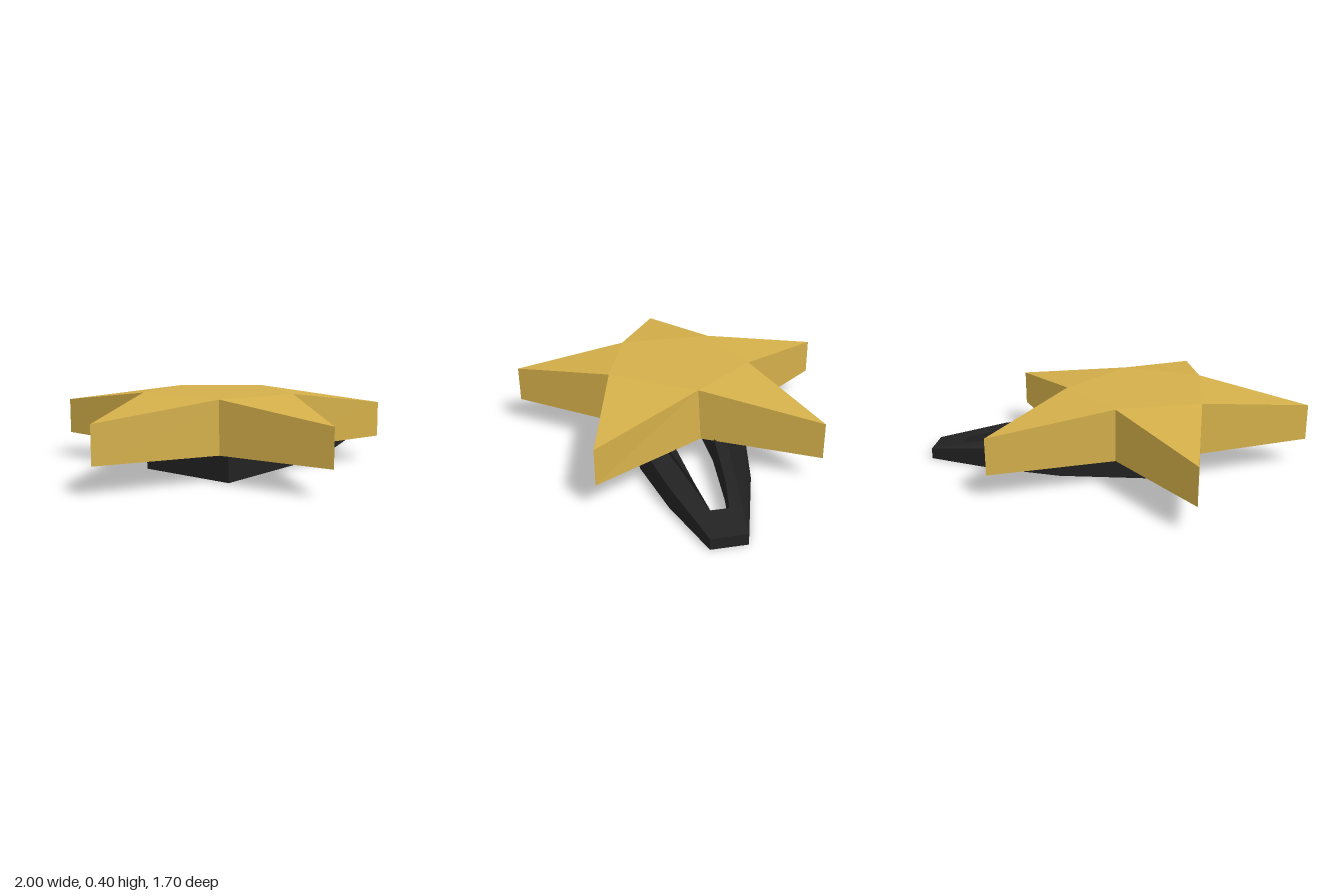
import * as THREE from 'three';

// Star outline as [x, z], alternating tip and inner corner, counter-clockwise from above
const OUTLINE = [
  [-1, 0], [-0.44, 0.26], [-0.38, 0.85], [-0.02, 0.39], [0.59, 0.54],
  [0.26, -0.02], [0.58, -0.57], [-0.02, -0.36], [-0.41, -0.85], [-0.44, -0.24],
];

function starGeometry() {
  const floor = (x) => 0.133 - 0.007 * x;
  const top = OUTLINE.map(([x, z], i) => [x, i % 2 ? 0.402 : floor(x) + 0.187, z]);
  const bottom = OUTLINE.map(([x, z]) => [x, floor(x), z]);
  // the corner facing the clip's nose leans outward a little
  bottom[5][0] += 0.008;
  bottom[5][2] -= 0.012;
  const centreTop = [-0.13, 0.402, 0], centreBottom = [-0.13, floor(-0.13), 0];
  const pos = [];
  const tri = (a, b, c) => pos.push(...a, ...b, ...c);
  const n = OUTLINE.length;
  for (let i = 0; i < n; i++) {
    const j = (i + 1) % n;
    // side wall
    tri(bottom[i], bottom[j], top[j]);
    tri(bottom[i], top[j], top[i]);
    if (i % 2 === 0) {
      // sloping point plus its slice of the flat middle, above and below
      const h = (i + n - 1) % n;
      tri(top[h], top[i], top[j]);
      tri(centreTop, top[h], top[j]);
      tri(bottom[h], bottom[j], bottom[i]);
      tri(centreBottom, bottom[j], bottom[h]);
    }
  }
  const geo = new THREE.BufferGeometry();
  geo.setAttribute('position', new THREE.Float32BufferAttribute(pos, 3));
  geo.computeVertexNormals();
  return geo;
}

// Closed loop of points symmetrical about z = 0.0125, from [x, half width] pairs
function loop(pairs) {
  const mid = -0.0125;
  return [
    ...pairs.map(([x, w]) => new THREE.Vector2(x, mid - w)),
    ...pairs.slice().reverse().map(([x, w]) => new THREE.Vector2(x, mid + w)),
  ];
}

function clipGeometry() {
  // two rails joined by a nose and a thin back wall
  const shape = new THREE.Shape(loop([[-0.4, 0.272], [0.28, 0.272], [0.65, 0.197], [1, 0.087]]));
  shape.holes.push(new THREE.Path(loop([[-0.38, 0.105], [0.28, 0.108], [0.65, 0.073], [0.83, 0.044]])));
  const geo = new THREE.ExtrudeGeometry(shape, { depth: 1, bevelEnabled: false });
  geo.rotateX(-Math.PI / 2);
  // the top slopes down toward the nose
  const p = geo.attributes.position;
  const height = (x) => (x < 0.65
    ? THREE.MathUtils.mapLinear(Math.max(x, 0.28), 0.28, 0.65, 0.142, 0.112)
    : THREE.MathUtils.mapLinear(x, 0.65, 1, 0.112, 0.056));
  for (let i = 0; i < p.count; i++) p.setY(i, p.getY(i) * height(p.getX(i)));
  geo.computeVertexNormals();
  return geo;
}

export function createModel() {
  const group = new THREE.Group();
  const add = (name, geometry, color) => {
    const mesh = new THREE.Mesh(geometry, new THREE.MeshStandardMaterial({ color, flatShading: true }));
    mesh.name = name;
    group.add(mesh);
  };
  add('star', starGeometry(), 0xd4af4a);
  add('clip', clipGeometry(), 0x222222);
  return group;
}
